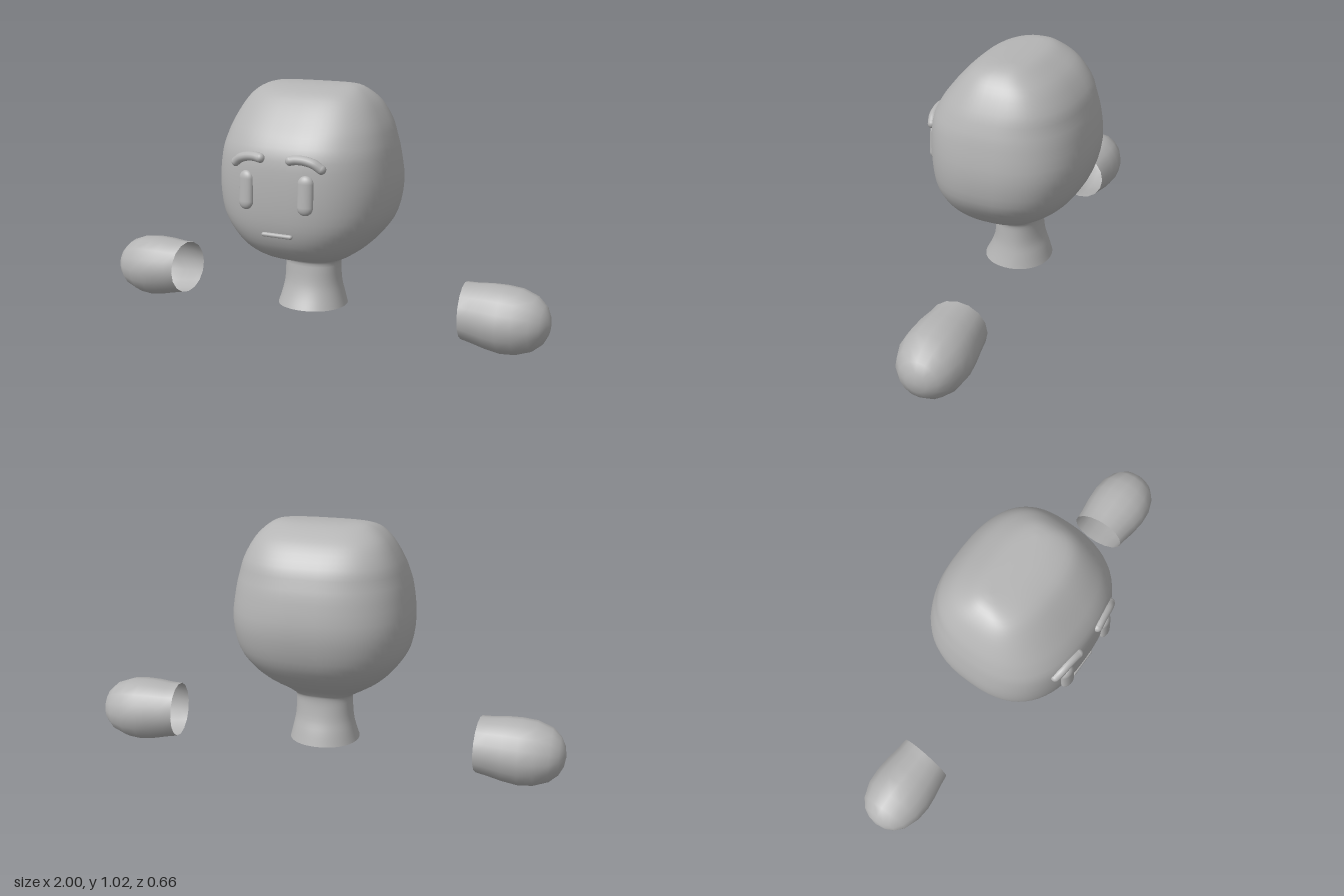
import * as THREE from 'three';

const grey = new THREE.MeshStandardMaterial({ color: 0xb4b4b4, side: THREE.DoubleSide });
grey.name = 'plain grey';

// Skin a stack of closed loops; an optional tip point closes the last loop.
function loft(loops, tip) {
  const n = loops[0].length, pos = [], idx = [];
  loops.forEach(l => l.forEach(p => pos.push(...p)));
  for (let i = 0; i < loops.length - 1; i++) {
    for (let j = 0; j < n; j++) {
      const a = i * n + j, b = i * n + (j + 1) % n;
      idx.push(a, b, a + n, b, b + n, a + n);
    }
  }
  if (tip) {
    const base = (loops.length - 1) * n;
    pos.push(...tip);
    for (let j = 0; j < n; j++) idx.push(base + j, base + (j + 1) % n, loops.length * n);
  }
  const g = new THREE.BufferGeometry();
  g.setAttribute('position', new THREE.Float32BufferAttribute(pos, 3));
  g.setIndex(idx);
  g.computeVertexNormals();
  return g;
}

function add(parent, name, geometry) {
  const m = new THREE.Mesh(geometry, grey);
  m.name = name;
  parent.add(m);
  return m;
}

// Neck and head sections: y, half width, front z, back z, squareness
const rows = [
  [0.10, 0.145, 0.13, -0.15, 2.1],
  [0.15, 0.132, 0.105, -0.135, 2.1],
  [0.20, 0.122, 0.088, -0.118, 2.1],
  [0.26, 0.118, 0.08, -0.108, 2.2],
  [0.295, 0.121, 0.082, -0.108, 2.2],
  [0.31, 0.145, 0.125, -0.115, 2.3],
  [0.33, 0.185, 0.19, -0.133, 2.4],
  [0.37, 0.242, 0.248, -0.19, 2.5],
  [0.43, 0.30, 0.287, -0.255, 2.5],
  [0.51, 0.348, 0.308, -0.303, 2.5],
  [0.63, 0.366, 0.316, -0.33, 2.5],
  [0.75, 0.353, 0.311, -0.318, 2.5],
  [0.82, 0.336, 0.283, -0.30, 2.5],
  [0.88, 0.314, 0.24, -0.278, 2.6],
  [0.95, 0.275, 0.18, -0.225, 2.7],
  [0.995, 0.232, 0.125, -0.16, 2.8],
  [1.018, 0.19, 0.05, -0.11, 2.8],
  [1.025, 0.14, -0.02, -0.06, 2.8],
];
const widths = new THREE.CatmullRomCurve3(rows.map(r => new THREE.Vector3(r[0], r[1], r[4])), false, 'catmullrom');
const depths = new THREE.CatmullRomCurve3(rows.map(r => new THREE.Vector3(r[0], r[2], r[3])), false, 'catmullrom');

function headGeometry() {
  const steps = (rows.length - 1) * 3, sides = 64, loops = [];
  for (let i = 0; i <= steps; i++) {
    const w = widths.getPoint(i / steps), d = depths.getPoint(i / steps);
    const loop = [];
    for (let j = 0; j < sides; j++) {
      const a = j / sides * Math.PI * 2, c = Math.cos(a), s = Math.sin(a);
      const bend = v => Math.sign(v) * Math.abs(v) ** (2 / w.z);
      loop.push([w.y * bend(s), w.x, (d.y + d.z) / 2 + (d.y - d.z) / 2 * bend(c)]);
    }
    loops.push(loop);
  }
  return loft(loops, [0, 1.024, -0.04]);
}

// Front surface depth of the face at (x, y)
function faceZ(x, y) {
  const i = rows.findIndex(r => r[0] > y), a = rows[i - 1], b = rows[i];
  const [, w, f, k, n] = a.map((v, j) => THREE.MathUtils.lerp(v, b[j], (y - a[0]) / (b[0] - a[0])));
  return (f + k) / 2 + (f - k) / 2 * (1 - Math.abs(x / w) ** n) ** (1 / n);
}

// Mitten hand: rings along x with a slanted open wrist and a rounded tip
function handGeometry(side) {
  const profile = [[0.655, 0.115], [0.70, 0.12], [0.76, 0.13], [0.82, 0.135], [0.88, 0.13],
    [0.94, 0.108], [0.975, 0.077], [0.993, 0.042]];
  const sides = 16;
  const loops = profile.map(([x, r], i) => {
    const loop = [], slant = 0.08 * Math.max(0, 1 - i / 3);
    const cy = 0.14 + 0.012 * Math.max(0, 1 - i / 3);
    for (let j = 0; j < sides; j++) {
      const a = side * j / sides * Math.PI * 2;
      const z = Math.sin(a) * r * 1.02;
      loop.push([side * (x + slant * z), cy + Math.cos(a) * r, -0.042 + z]);
    }
    return loop;
  });
  return loft(loops, [side, 0.14, -0.042]);
}

export function createModel() {
  const model = new THREE.Group();
  model.name = 'headAndHands';
  add(model, 'headAndNeck', headGeometry());

  for (const side of [1, -1]) {
    const label = side > 0 ? 'left' : 'right';
    add(model, label + 'Hand', handGeometry(side));

    // Upright pill-shaped eye
    const eye = add(model, label + 'Eye', new THREE.CapsuleGeometry(0.032, 0.09, 8, 20));
    eye.scale.z = 0.6;
    eye.position.set(side * 0.13, 0.628, faceZ(0.13, 0.628) + 0.002);
    eye.rotation.set(-0.06, side * 0.14, 0);

    // Arched brow with rounded ends
    const brow = new THREE.Group();
    brow.name = label + 'Brow';
    const pts = [[0.187, 0.731], [0.16, 0.75], [0.125, 0.76], [0.09, 0.762], [0.065, 0.758]]
      .map(([x, y]) => new THREE.Vector3(side * x, y, faceZ(x, y) + 0.002));
    add(brow, 'browArch', new THREE.TubeGeometry(new THREE.CatmullRomCurve3(pts), 20, 0.019, 12));
    for (const p of [pts[0], pts[4]]) {
      add(brow, 'browEnd', new THREE.SphereGeometry(0.019, 14, 10)).position.copy(p);
    }
    model.add(brow);
  }

  // Thin straight mouth
  const mouth = add(model, 'mouth', new THREE.CapsuleGeometry(0.009, 0.118, 6, 12));
  mouth.rotation.z = Math.PI / 2;
  mouth.position.set(0, 0.455, faceZ(0.03, 0.455) + 0.005);
  return model;
}
